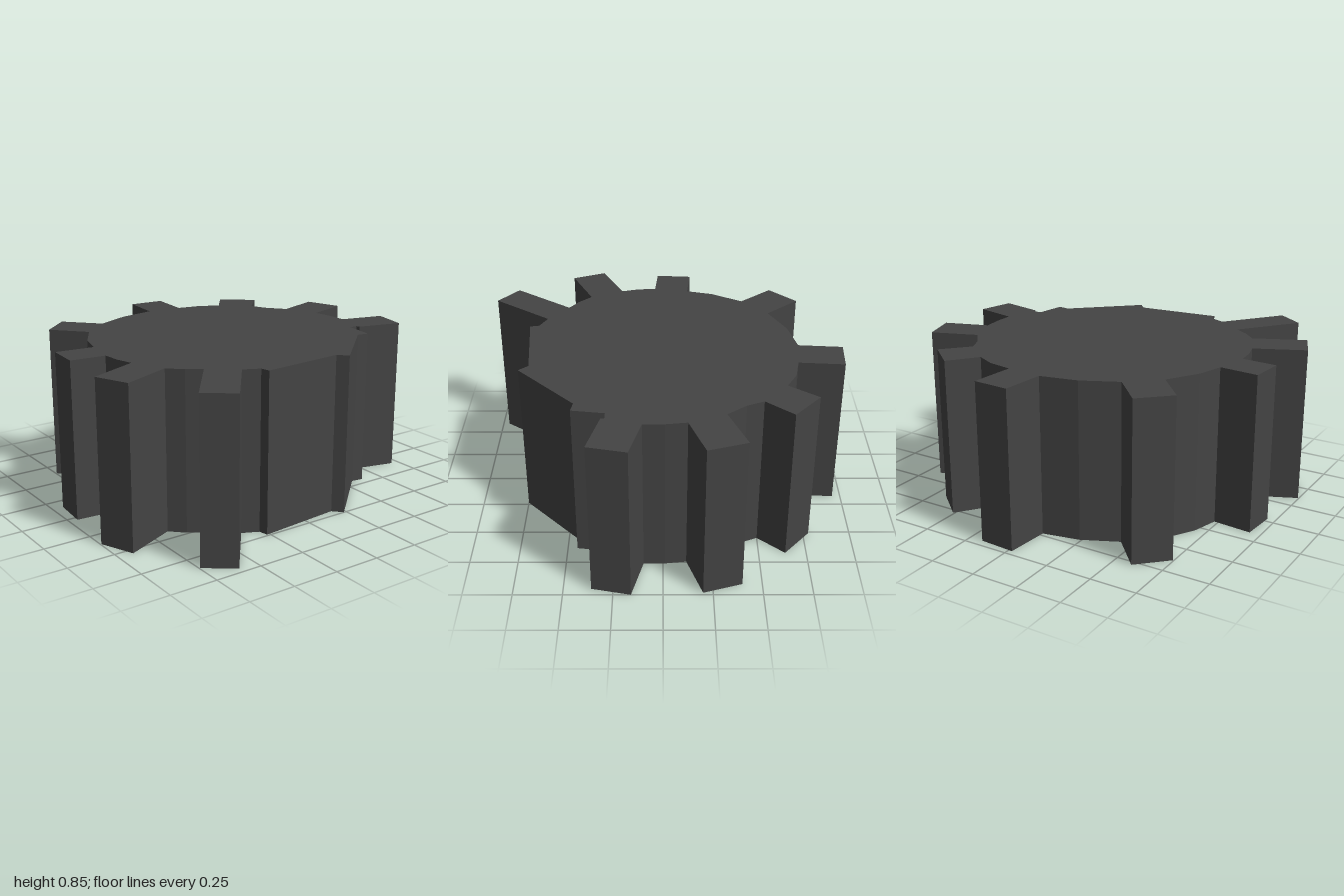
import * as THREE from 'three';

const HEIGHT = 0.85;

// Plan outline as [x, z]: each tooth is inner, outer, outer, inner; valley points lie between
const backTeeth = [
  [-0.31, -0.67], [-0.40, -0.92], [-0.20, -0.985], [-0.12, -0.745],
  [-0.01, -0.76], [0.10, -0.76],
  [0.10, -0.76], [0.16, -1.0], [0.36, -0.955], [0.30, -0.71],
];
// Worn side, where the teeth are missing
const wornSide = [
  [0.28, -0.705], [0.28, -0.66], [0.45, -0.635], [0.44, -0.57],
  [0.75, -0.235], [0.70, -0.19], [0.74, 0.265], [0.69, 0.275],
];
const frontTeeth = [
  [0.65, 0.36], [0.965, 0.60], [0.855, 0.745], [0.54, 0.505],
  [0.49, 0.58],
  [0.42, 0.65], [0.54, 0.92], [0.36, 0.995], [0.24, 0.73],
  [0.15, 0.755],
  [0.045, 0.765], [0.03, 0.955], [-0.165, 0.94], [-0.145, 0.73],
  [-0.29, 0.69],
];
const leftTeeth = [
  [-0.46, 0.59], [-0.635, 0.745], [-0.78, 0.595], [-0.60, 0.43],
  [-0.69, 0.24],
  [-0.73, 0.04], [-0.968, 0.02], [-0.955, -0.175], [-0.71, -0.155],
  [-0.685, -0.29],
  [-0.63, -0.395], [-0.78, -0.51], [-0.64, -0.675], [-0.50, -0.55],
  [-0.41, -0.59],
];

export function createModel() {
  const group = new THREE.Group();
  group.name = 'gear';

  // Join the runs, dropping repeated points
  const outline = [...backTeeth, ...wornSide, ...frontTeeth, ...leftTeeth]
    .map(([x, z]) => new THREE.Vector2(x, -z))
    .filter((p, i, all) => i === 0 || !p.equals(all[i - 1]));

  // Toothed body, extruded upward with flat faces
  const geometry = new THREE.ExtrudeGeometry(new THREE.Shape(outline), {
    depth: HEIGHT, bevelEnabled: false,
  });
  geometry.rotateX(-Math.PI / 2);
  const material = new THREE.MeshStandardMaterial({ color: 0x444444, flatShading: true });
  const body = new THREE.Mesh(geometry, material);
  body.name = 'toothedBody';
  group.add(body);
  return group;
}
